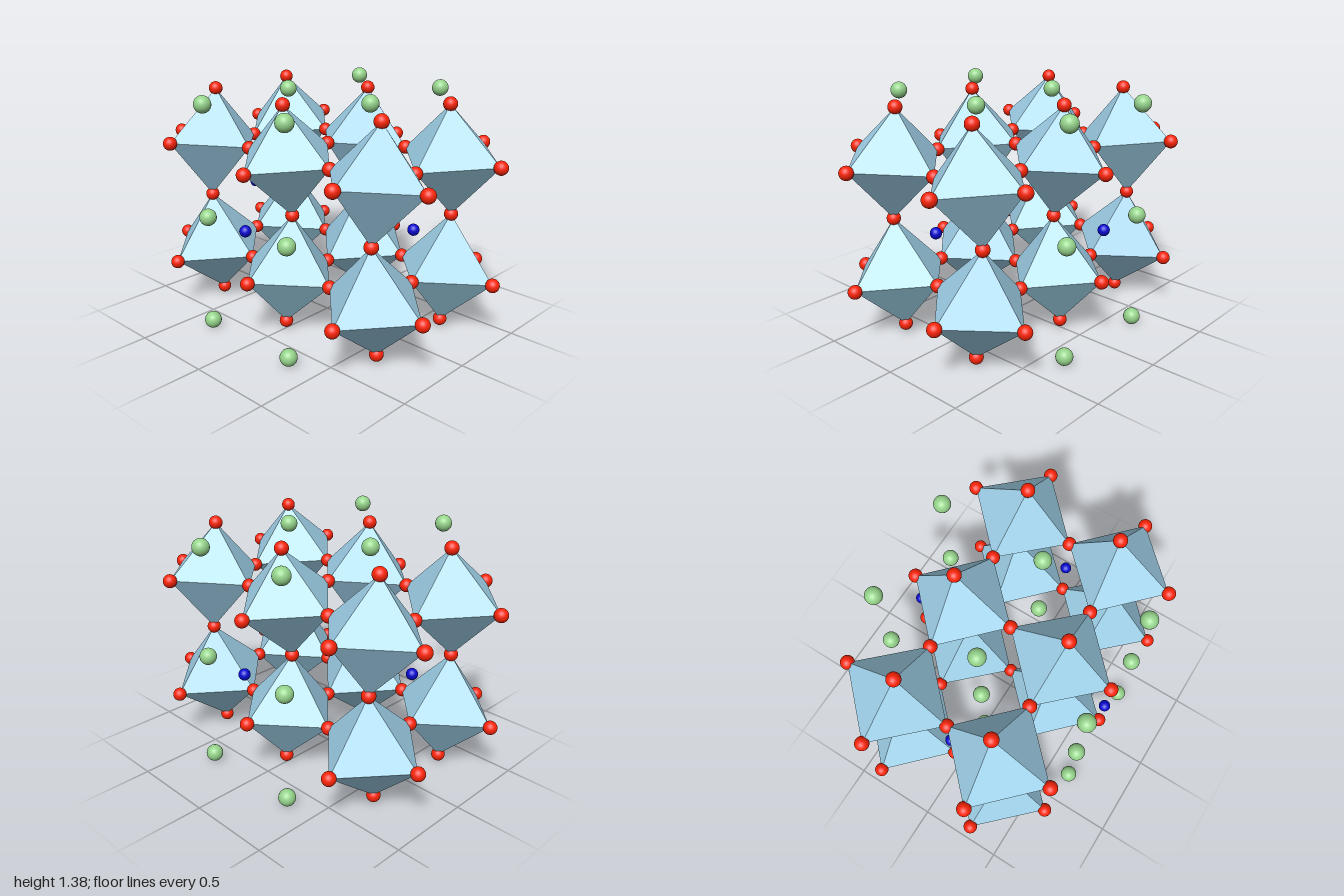
import * as THREE from 'three';
import { ConvexGeometry } from 'three/addons/geometries/ConvexGeometry.js';

const H = 0.32;              // half the lattice spacing
const TILT_X = 0.03;         // sideways shift of the apex atoms
const TILT_Y = 0.0275;       // vertical shift of the side atoms
const LEVELS = [0.05, 0.69, 1.335]; // apex planes
const MIDS = [0.352, 1.032];        // octahedron centre planes

// Tilt alternates from one z row to the next
const rowSign = (k) => (k === 0 ? -1 : 1);

// Atom at the tip of an octahedron; i = -1 or 1, k = -1, 0 or 1
const apexAtom = (i, level, k) => {
  const shift = (level === 1 ? 1 : -1) * rowSign(k) * TILT_X;
  return new THREE.Vector3(i * (H + shift), LEVELS[level], k * 2 * H);
};

// Atom shared between neighbours along x; i = -1, 0 or 1
const sideAtom = (i, layer, k) => {
  const s = rowSign(k) * (i === 0 ? -1 : 1) * (layer === 1 ? 1 : -1);
  return new THREE.Vector3(i * 2 * H, MIDS[layer] + s * TILT_Y, k * 2 * H);
};

// Atom shared between neighbours along z; i = -1 or 1
const frontAtom = (i, layer, z) => new THREE.Vector3(i * H, MIDS[layer], z);

export function createModel() {
  const model = new THREE.Group();
  model.name = 'crystalLattice';

  const mat = (color, flatShading = false) => new THREE.MeshStandardMaterial({ color, flatShading });
  const blueFace = mat(0xa0d2ea, true);
  const red = mat(0xfa2408);
  const green = mat(0x96d48c);
  const darkBlue = mat(0x0808d0);

  const redBall = new THREE.SphereGeometry(0.04, 28, 18);
  const greenBall = new THREE.SphereGeometry(0.049, 28, 18);
  const blueBall = new THREE.SphereGeometry(0.033, 28, 18);

  const group = (name) => {
    const g = new THREE.Group();
    g.name = name;
    model.add(g);
    return g;
  };
  const add = (parent, name, geometry, material, position) => {
    const mesh = new THREE.Mesh(geometry, material);
    mesh.name = name;
    if (position) mesh.position.copy(position);
    parent.add(mesh);
  };

  const octahedra = group('octahedra');
  const corners = group('cornerAtoms');
  const cages = group('cageAtoms');
  const windows = group('windowAtoms');

  // Tilted octahedra, spanned by their six corner atoms
  for (const i of [-1, 1]) for (const layer of [0, 1]) for (const k of [-1, 0, 1]) {
    add(octahedra, 'octahedron', new ConvexGeometry([
      apexAtom(i, layer, k), apexAtom(i, layer + 1, k),
      sideAtom(0, layer, k), sideAtom(i, layer, k),
      frontAtom(i, layer, (2 * k - 1) * H), frontAtom(i, layer, (2 * k + 1) * H),
    ]), blueFace);
  }

  // Red atoms, one for every shared corner
  for (const k of [-1, 0, 1]) {
    for (const i of [-1, 1]) for (const level of [0, 1, 2])
      add(corners, 'apexAtom', redBall, red, apexAtom(i, level, k));
    for (const i of [-1, 0, 1]) for (const layer of [0, 1])
      add(corners, 'sideAtom', redBall, red, sideAtom(i, layer, k));
  }
  for (const i of [-1, 1]) for (const layer of [0, 1]) for (const n of [-3, -1, 1, 3])
    add(corners, 'frontAtom', redBall, red, frontAtom(i, layer, n * H));

  // Green atoms in the gaps between octahedra
  for (const i of [-1, 0, 1]) for (const y of LEVELS) for (const k of [-1, 1])
    add(cages, 'cageAtom', greenBall, green, new THREE.Vector3(i * 2 * H, y, k * H));

  // Small blue atoms at the middle of each outer side
  for (const [x, z] of [[1, 0], [-1, 0], [0, 1], [0, -1]])
    add(windows, 'windowAtom', blueBall, darkBlue, new THREE.Vector3(x * 2 * H, LEVELS[1], z * 2 * H));

  return model;
}
